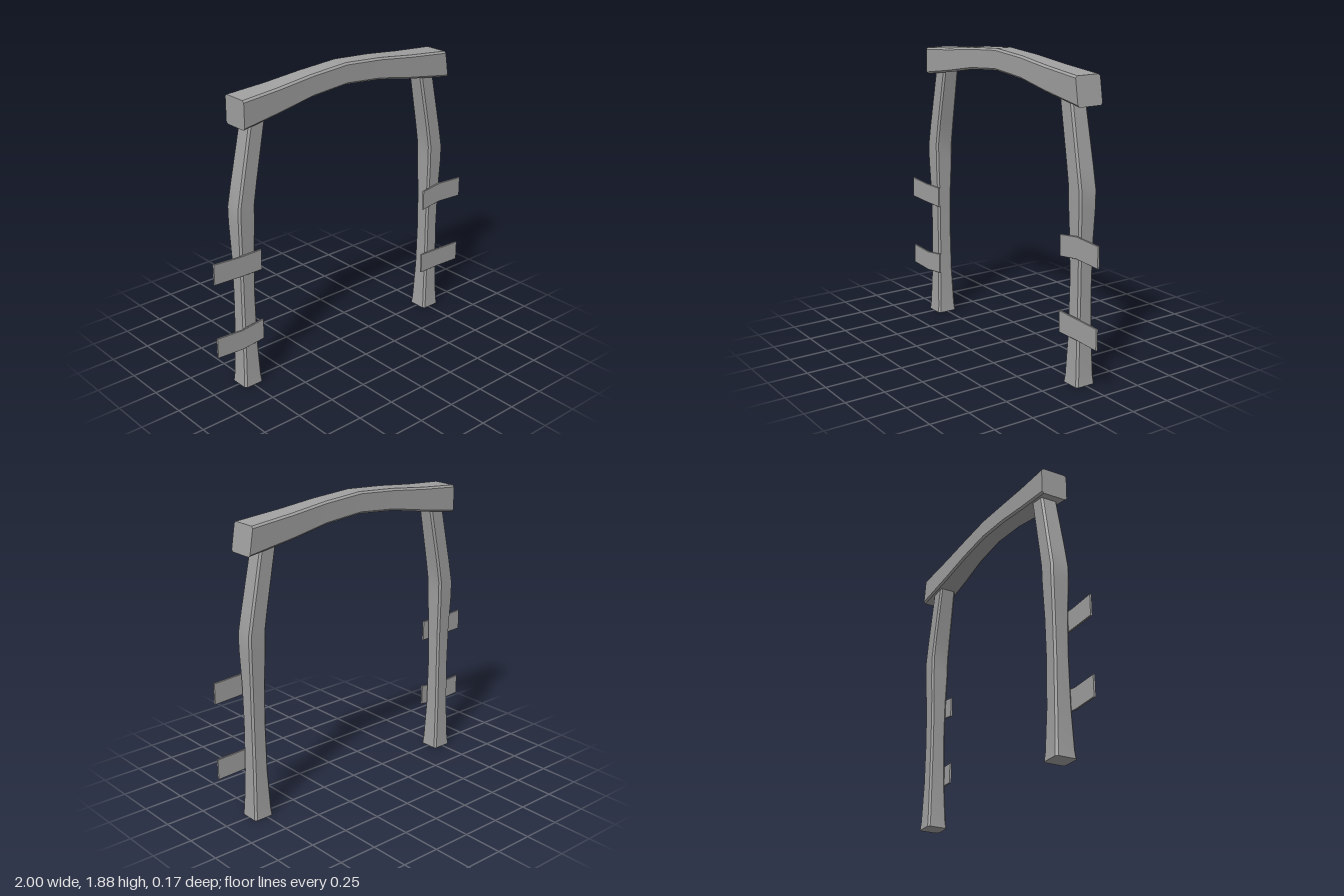
import * as THREE from 'three';
import { toCreasedNormals } from 'three/addons/utils/BufferGeometryUtils.js';

const material = new THREE.MeshStandardMaterial({ color: 0xa0a0a0 });

// Lofts a timber through chamfered rectangles.
// Section: [ax, ay, bx, by, halfDepth], a and b being opposite edges in the xy plane.
function timber(name, sections, chamfer, z = 0) {
  const positions = [], index = [], n = 8, c = chamfer;
  for (const [ax, ay, bx, by, h] of sections) {
    const len = Math.hypot(bx - ax, by - ay);
    const loop = [
      [c, -h], [len - c, -h], [len, -h + c], [len, h - c],
      [len - c, h], [c, h], [0, h - c], [0, -h + c],
    ];
    for (const [t, d] of loop) {
      positions.push(ax + (bx - ax) * t / len, ay + (by - ay) * t / len, z + d);
    }
  }
  const last = (sections.length - 1) * n;
  for (let s = 0; s < last; s += n) {
    for (let i = 0; i < n; i++) {
      const j = (i + 1) % n;
      index.push(s + i, s + n + i, s + n + j, s + i, s + n + j, s + j);
    }
  }
  for (let i = 1; i < n - 1; i++) {
    index.push(0, i, i + 1, last, last + i + 1, last + i);
  }
  const geometry = new THREE.BufferGeometry();
  geometry.setAttribute('position', new THREE.Float32BufferAttribute(positions, 3));
  geometry.setIndex(index);
  const mesh = new THREE.Mesh(toCreasedNormals(geometry, Math.PI / 7), material);
  mesh.name = name;
  return mesh;
}

// Thin board nailed to the front of a post; rows are [x, top, bottom]
const plank = (name, rows) =>
  timber(name, rows.map(([x, top, bottom]) => [x, top, x, bottom, 0.006]), 0.002, 0.063);

export function createModel() {
  const group = new THREE.Group();

  // Posts: flared foot, slim middle, then a bend inwards to the beam
  const post = [
    [0.703, 0, 0.836, 0, 0.067],
    [0.708, 0.05, 0.831, 0.05, 0.062],
    [0.719, 0.30, 0.822, 0.30, 0.053],
    [0.721, 0.60, 0.820, 0.60, 0.049],
    [0.718, 0.85, 0.822, 0.85, 0.052],
    [0.713, 1.06, 0.829, 1.06, 0.060],
    [0.711, 1.18, 0.829, 1.16, 0.061],
    [0.687, 1.32, 0.802, 1.30, 0.060],
    [0.610, 1.71, 0.720, 1.70, 0.054],
  ];
  const inset = 0.022; // the right post stands slightly closer to the middle
  group.add(timber('leftPost', post, 0.012));
  group.add(timber('rightPost',
    post.map(([ax, ay, bx, by, h]) => [inset - bx, by, inset - ax, ay, h]), 0.012));

  // Arched top beam, thicker towards its ends
  group.add(timber('topBeam', [
    [-0.765, 1.812, -0.765, 1.640, 0.086],
    [-0.51, 1.831, -0.50, 1.680, 0.076],
    [-0.265, 1.857, -0.26, 1.722, 0.067],
    [0, 1.875, 0, 1.743, 0.064],
    [0.265, 1.857, 0.26, 1.722, 0.067],
    [0.51, 1.829, 0.50, 1.680, 0.076],
    [0.80, 1.803, 0.828, 1.633, 0.086],
  ], 0.012));

  // Short crooked fence boards
  group.add(plank('rightUpperPlank', [[-1, 0.896, 0.764], [-0.83, 0.886, 0.758], [-0.667, 0.887, 0.756]]));
  group.add(plank('rightLowerPlank', [[-1, 0.416, 0.286], [-0.82, 0.407, 0.277], [-0.667, 0.427, 0.294]]));
  group.add(plank('leftUpperPlank', [[0.663, 0.885, 0.754], [0.81, 0.905, 0.774], [1, 0.895, 0.764]]));
  group.add(plank('leftLowerPlank', [[0.663, 0.426, 0.292], [0.82, 0.422, 0.293], [1, 0.416, 0.286]]));
  return group;
}
